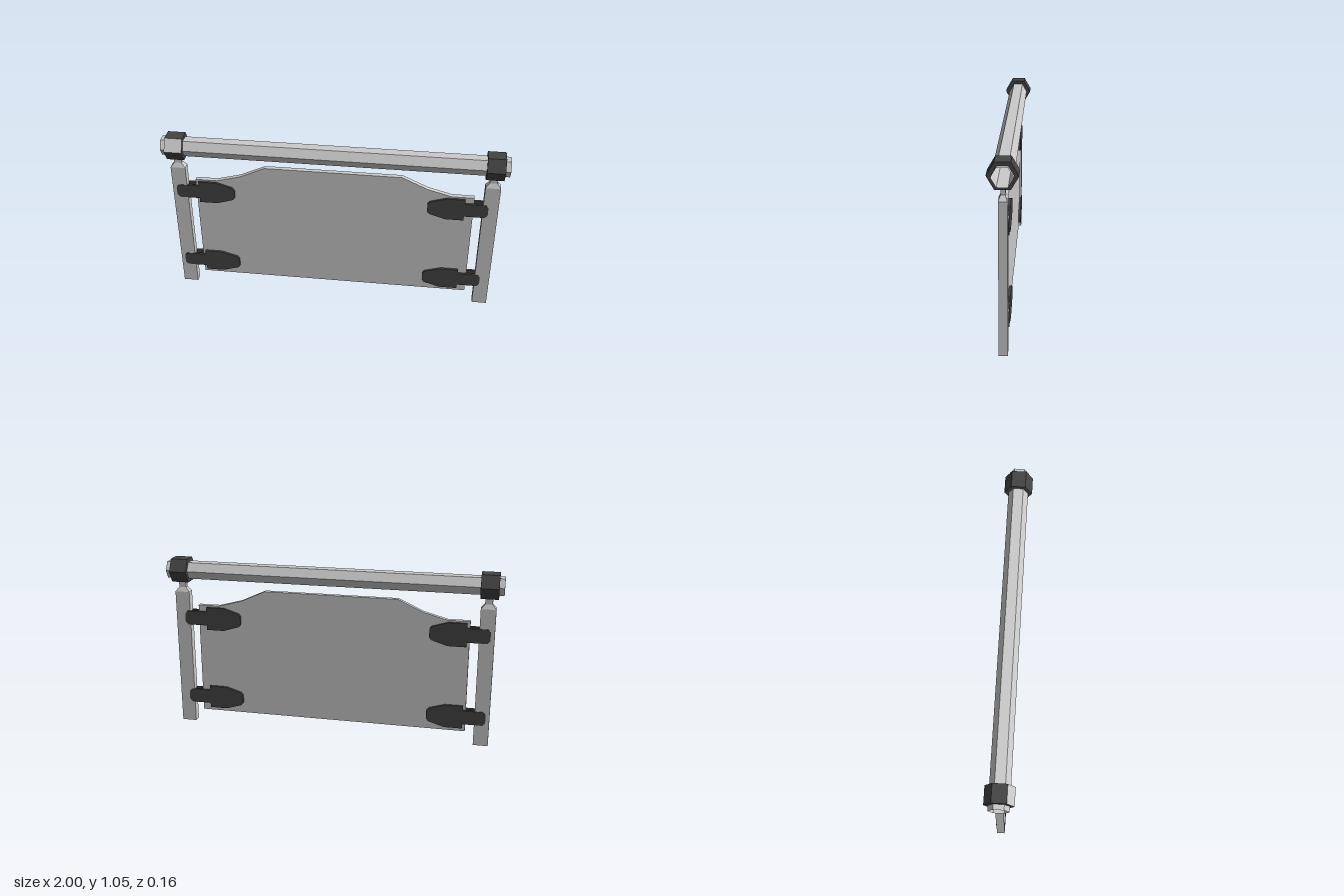
import * as THREE from 'three';

const grey = new THREE.MeshStandardMaterial({ color: 0xcccccc, flatShading: true, side: THREE.DoubleSide });
const dark = new THREE.MeshStandardMaterial({ color: 0x444444, flatShading: true, side: THREE.DoubleSide });

const BAR_Y = 0.98;

function add(parent, name, geometry, material, x = 0, y = 0, z = 0) {
  const mesh = new THREE.Mesh(geometry, material);
  mesh.name = name;
  mesh.position.set(x, y, z);
  parent.add(mesh);
  return mesh;
}

// Flat plate cut from an outline, centred on z = 0
function plate(points, depth) {
  const shape = new THREE.Shape(points.map(([x, y]) => new THREE.Vector2(x, y)));
  return new THREE.ExtrudeGeometry(shape, { depth, bevelEnabled: false }).translate(0, 0, -depth / 2);
}

// Open hexagonal sleeve lying along x, starting at its front corner
function hexSleeve(radius, length, start = 0, sides = 6) {
  return new THREE.CylinderGeometry(radius, radius, length, sides, 1, true, start * Math.PI / 3, sides * Math.PI / 3)
    .rotateZ(Math.PI / 2);
}

// Square post with a tapered shoulder and a thin neck
function createPost(x) {
  const post = new THREE.Group();
  post.name = 'post';
  add(post, 'postBody', new THREE.BoxGeometry(0.088, 0.845, 0.047), grey, 0, 0.4225);
  const shoulder = new THREE.CylinderGeometry(0.5 * Math.SQRT1_2, Math.SQRT1_2, 1, 4, 1, true).rotateY(Math.PI / 4);
  add(post, 'postShoulder', shoulder.scale(0.088, 0.027, 0.047), grey, 0, 0.8585);
  add(post, 'postNeck', new THREE.BoxGeometry(0.044, 0.045, 0.0235), grey, 0, 0.8925);
  post.position.x = x;
  return post;
}

// Hexagonal collar around the bar; the left and right ones differ in one facet
function createCollar(x) {
  const collar = new THREE.Group();
  collar.name = 'collar';
  add(collar, 'collarSleeve', hexSleeve(0.081, 0.103, 1, 5), dark);
  add(collar, 'collarFacet', hexSleeve(0.081, 0.103, 0, 1), x < 0 ? grey : dark);
  for (const s of [-1, 1]) {
    add(collar, 'collarEnd', new THREE.RingGeometry(0.057, 0.081, 6).rotateY(s * Math.PI / 2), dark, s * 0.0515);
  }
  collar.position.set(x, BAR_Y, 0);
  return collar;
}

export function createModel() {
  const model = new THREE.Group();
  model.name = 'hangingSign';

  // Hollow hexagonal bar
  add(model, 'bar', hexSleeve(0.057, 2), grey, 0, BAR_Y);

  for (const s of [-1, 1]) {
    model.add(createPost(s * 0.917));
    model.add(createCollar(s * 0.919));
  }

  // Board with a raised, stepped top
  const rightEdge = [[0.82, 0.08], [0.82, 0.765], [0.69, 0.765], [0.55, 0.803], [0.4, 0.872]];
  const leftEdge = rightEdge.map(([x, y]) => [-x, y]).reverse();
  add(model, 'board', plate([...rightEdge, ...leftEdge], 0.028), grey);

  // Strap outline: x runs from its outer end on the post inward over the board
  const half = [[0, 0.025], [0.015, 0.043], [0.135, 0.043], [0.135, 0.071],
    [0.242, 0.071], [0.338, 0.041], [0.35, 0.025]];
  const outline = [...half, ...half.map(([x, y]) => [x, -y]).reverse()];

  // Paired straps on both faces joining the board to the posts
  for (const [endX, dir] of [[-0.938, 1], [0.904, -1]]) {
    const strap = plate(outline.map(([x, y]) => [endX + dir * x, y]), 0.014);
    for (const y of [0.173, 0.684]) {
      add(model, 'frontStrap', strap, dark, 0, y, 0.019);
      add(model, 'backStrap', strap, dark, 0, y, -0.021);
    }
  }
  return model;
}
